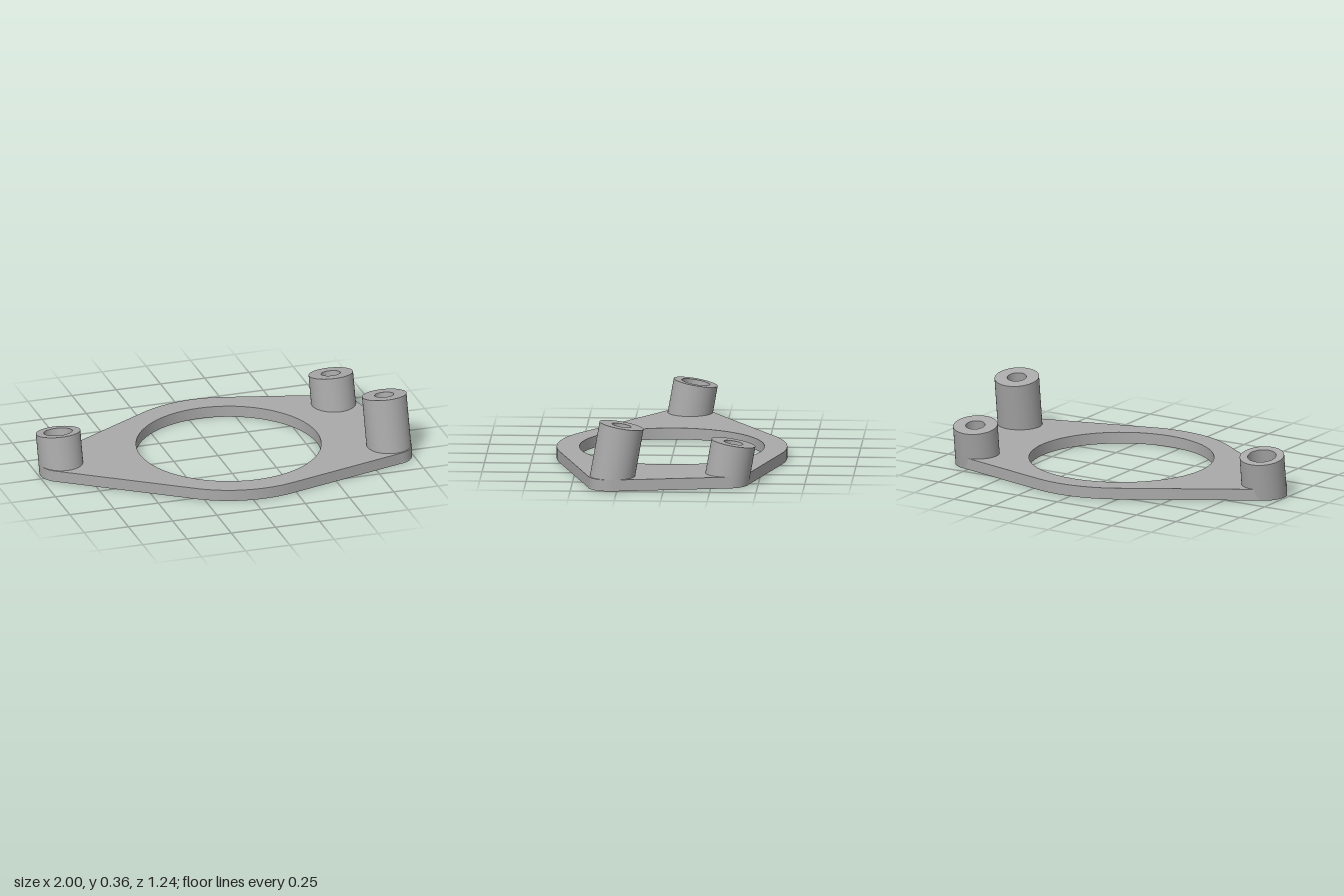
import * as THREE from 'three';
import { toCreasedNormals } from 'three/addons/utils/BufferGeometryUtils.js';

const THICK = 0.062, BOSS_R = 0.12, BORE_R = 0.052;
const axis = new THREE.Vector3(-0.035, 0.985, -0.173).normalize(); // shared lean of the bosses
const RING = { x: 0.06, z: 0, r: 0.62 };
const BOSSES = [
  { name: 'leftBoss', x: 0.877, z: 0.289, r: BOSS_R, length: 0.342 },
  { name: 'leftRearBoss', x: 0.765, z: -0.327, r: BOSS_R, length: 0.23 },
  { name: 'rightBoss', x: -0.87, z: -0.04, r: BOSS_R, length: 0.23, counterbore: 0.1 },
];

// Angle of the outward normal of the outer tangent from circle a to circle b
function tangentAngle(a, b) {
  const dx = b.x - a.x, dy = a.z - b.z;
  return Math.atan2(dy, dx) - Math.acos((a.r - b.r) / Math.hypot(dx, dy));
}

// Flat plate wrapped around the ring and the boss feet, with its holes
function plateGeometry() {
  const [front, rear, side] = BOSSES;
  const loop = [side, RING, front, rear, RING];
  const shape = new THREE.Shape();
  loop.forEach((c, i) => {
    const before = loop[(i + loop.length - 1) % loop.length];
    const after = loop[(i + 1) % loop.length];
    shape.absarc(c.x, -c.z, c.r, tangentAngle(before, c), tangentAngle(c, after), false);
  });
  shape.closePath();
  for (const h of [{ ...RING, r: 0.498 }, ...BOSSES.map((b) => ({ ...b, r: BORE_R }))]) {
    shape.holes.push(new THREE.Path().absarc(h.x, -h.z, h.r, 0, Math.PI * 2, true));
  }
  const geo = new THREE.ExtrudeGeometry(shape, { depth: THICK, bevelEnabled: false, curveSegments: 32 });
  geo.rotateX(-Math.PI / 2);
  // Lean the screw holes along the boss axis
  const p = geo.attributes.position;
  for (let i = 0; i < p.count; i++) {
    const x = p.getX(i), y = p.getY(i), z = p.getZ(i);
    if (BOSSES.some((b) => Math.hypot(x - b.x, z - b.z) < BORE_R + 0.01)) {
      p.setX(i, x + (y * axis.x) / axis.y);
      p.setZ(i, z + (y * axis.z) / axis.y);
    }
  }
  return toCreasedNormals(geo, 0.5);
}

// Leaning tube with a square-cut top and a foot cut level with the plate
function bossGeometry(boss, turn) {
  const L = boss.length;
  const profile = [[BOSS_R, 0], [BOSS_R, L]];
  if (boss.counterbore) {
    profile.push([0.077, L], [0.077, L - boss.counterbore], [BORE_R, L - boss.counterbore]);
  } else {
    profile.push([BORE_R, L]);
  }
  profile.push([BORE_R, THICK]);
  const geo = new THREE.LatheGeometry(profile.map(([r, y]) => new THREE.Vector2(r, y)), 64);
  const up = new THREE.Vector3(0, 1, 0).applyQuaternion(turn.clone().invert());
  const p = geo.attributes.position;
  for (let i = 0; i < p.count; i++) {
    const y = p.getY(i);
    if (y < THICK + 0.001) p.setY(i, (y - p.getX(i) * up.x - p.getZ(i) * up.z) / up.y);
  }
  return toCreasedNormals(geo.toNonIndexed(), 0.5);
}

export function createModel() {
  const model = new THREE.Group();
  model.name = 'mountingBracket';
  const grey = new THREE.MeshStandardMaterial({ color: 0xaaaaaa });
  grey.name = 'grey';

  const plate = new THREE.Mesh(plateGeometry(), grey);
  plate.name = 'plate';
  model.add(plate);

  const turn = new THREE.Quaternion().setFromUnitVectors(new THREE.Vector3(0, 1, 0), axis);
  for (const boss of BOSSES) {
    const mesh = new THREE.Mesh(bossGeometry(boss, turn), grey);
    mesh.name = boss.name;
    mesh.position.set(boss.x, 0, boss.z);
    mesh.quaternion.copy(turn);
    model.add(mesh);
  }
  return model;
}
